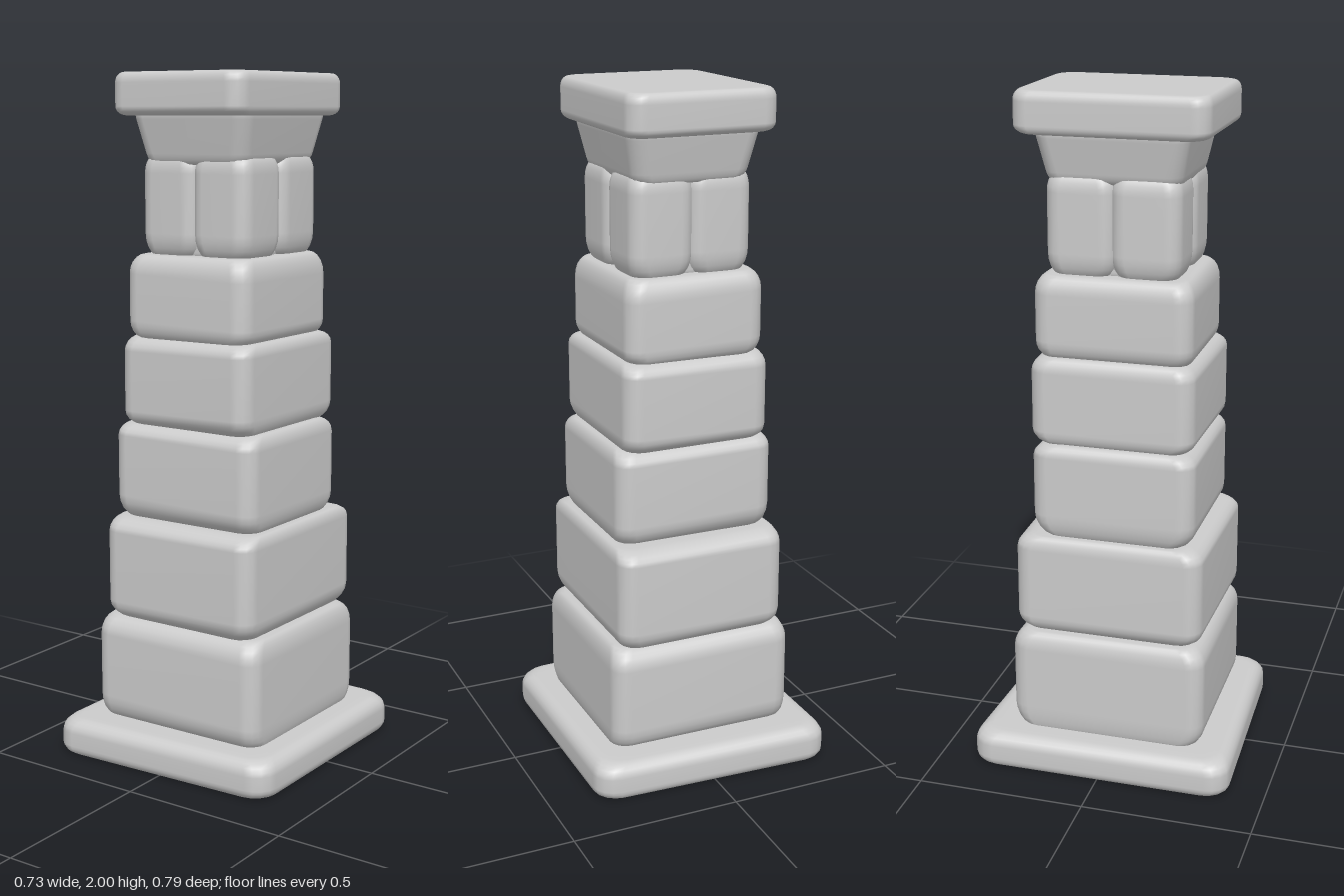
import * as THREE from 'three';

const material = new THREE.MeshStandardMaterial({ color: 0xcccccc, roughness: 0.9 });

// Outline of a rounded rectangle, counter-clockwise seen from above
function outline(hx, hz, r) {
  const pts = [];
  const signs = [[1, 1], [1, -1], [-1, -1], [-1, 1]];
  signs.forEach(([sx, sz], q) => {
    for (let i = 0; i <= 4; i++) {
      const a = Math.PI / 2 - (q + i / 4) * Math.PI / 2;
      pts.push([sx * (hx - r) + Math.cos(a) * r, sz * (hz - r) + Math.sin(a) * r]);
    }
  });
  return pts;
}

// Soft, worn block lofted from rounded sections.
// x, y, z: [min, max]; bevel: inset in x, height, inset in z (bottom / top)
function block(name, { x, y, z, r, low, high, flare = 0, taper = 0, lean = 0 }) {
  const cx = (x[0] + x[1]) / 2, cz = (z[0] + z[1]) / 2;
  const hx = (x[1] - x[0]) / 2, hz = (z[1] - z[0]) / 2;
  const rows = [];
  const steps = 5;
  rows.push([y[0], low[0] + 0.03, low[2] + 0.03]);
  for (let i = 0; i <= steps; i++) {
    const a = (i / steps) * Math.PI / 2, c = 1 - Math.sin(a);
    rows.push([y[0] + low[1] * (1 - Math.cos(a)), low[0] * c, low[2] * c]);
  }
  for (let i = steps; i >= 0; i--) {
    const a = (i / steps) * Math.PI / 2, c = 1 - Math.sin(a);
    rows.push([y[1] - high[1] * (1 - Math.cos(a)), high[0] * c, high[2] * c]);
  }
  rows.push([y[1], high[0] + 0.03, high[2] + 0.03]);

  const pos = [], idx = [];
  let n = 0;
  for (const [py, ix, iz] of rows) {
    const t = (py - y[0]) / (y[1] - y[0]);
    const f = flare * (1 - t);
    const ring = outline(hx - ix - f, hz - iz - f, r);
    n = ring.length;
    for (const [px, pz] of ring) {
      const u = px / hx;
      pos.push(cx + px, py + lean * u * t * (1 - t), cz + pz * (1 - taper * u));
    }
  }
  for (let j = 0; j < rows.length - 1; j++) {
    for (let i = 0; i < n; i++) {
      const a = j * n + i, b = j * n + (i + 1) % n;
      idx.push(a, b, b + n, a, b + n, a + n);
    }
  }
  // Flat underside and top
  const bottom = pos.length / 3, top = bottom + 1, last = (rows.length - 1) * n;
  pos.push(cx, y[0], cz, cx, y[1], cz);
  for (let i = 0; i < n; i++) {
    const k = (i + 1) % n;
    idx.push(bottom, k, i, top, last + i, last + k);
  }
  const geo = new THREE.BufferGeometry();
  geo.setAttribute('position', new THREE.Float32BufferAttribute(pos, 3));
  geo.setIndex(idx);
  geo.computeVertexNormals();
  const mesh = new THREE.Mesh(geo, material);
  mesh.name = name;
  return mesh;
}

export function createModel() {
  const group = new THREE.Group();
  group.name = 'stonePillar';

  // Slightly crooked base slab
  group.add(block('baseSlab', {
    x: [-0.368, 0.365], y: [0, 0.11], z: [-0.378, 0.382], r: 0.065,
    low: [0.025, 0.03, 0.025], high: [0.04, 0.04, 0.04], taper: 0.04,
  }));

  // Stacked stones, narrowing upwards
  const stones = [
    { x: [-0.285, 0.28], y: [0.1, 0.42], z: [-0.283, 0.296], low: [0.015, 0.07, 0.045], high: [0.025, 0.06, 0.05] },
    { x: [-0.262, 0.26], y: [0.41, 0.72], z: [-0.283, 0.288], low: [0.05, 0.06, 0.06], high: [0.02, 0.04, 0.06] },
    { x: [-0.245, 0.24], y: [0.71, 1.0], z: [-0.226, 0.253], low: [0.03, 0.07, 0.06], high: [0.025, 0.04, 0.06] },
    { x: [-0.226, 0.222], y: [0.99, 1.255], z: [-0.24, 0.25], low: [0.03, 0.05, 0.06], high: [0.025, 0.04, 0.05] },
    { x: [-0.212, 0.206], y: [1.245, 1.49], z: [-0.224, 0.234], low: [0.035, 0.05, 0.03], high: [0.03, 0.06, 0.035] },
  ];
  stones.forEach((s, i) => group.add(block(`shaftStone${i + 1}`, {
    ...s, r: 0.05, taper: i % 2 ? -0.015 : 0.015, lean: i % 2 ? 0.03 : -0.03,
  })));

  // Cluster of four upright stones around a core
  const cluster = new THREE.Group();
  cluster.name = 'uprightStones';
  for (const sx of [-1, 1]) {
    for (const sz of [-1, 1]) {
      const range = (s, outer) => (s > 0 ? [-0.008, outer] : [-outer, 0.008]);
      cluster.add(block('uprightStone', {
        x: range(sx, 0.183), y: [1.48, 1.77], z: range(sz, 0.195), r: 0.045,
        low: [0.03, 0.07, 0.03], high: [0.02, 0.05, 0.02],
      }));
    }
  }
  cluster.add(block('uprightCore', {
    x: [-0.15, 0.15], y: [1.48, 1.77], z: [-0.165, 0.165], r: 0.04,
    low: [0.01, 0.02, 0.01], high: [0.01, 0.02, 0.01],
  }));
  group.add(cluster);

  // Neck flaring out under the cap
  group.add(block('neck', {
    x: [-0.2, 0.2], y: [1.745, 1.89], z: [-0.223, 0.22], r: 0.045, flare: 0.03,
    low: [0.015, 0.03, 0.01], high: [0.005, 0.02, 0.005],
  }));

  // Cap slab
  group.add(block('capSlab', {
    x: [-0.222, 0.222], y: [1.88, 2], z: [-0.277, 0.281], r: 0.05,
    low: [0.02, 0.025, 0.03], high: [0.018, 0.03, 0.018],
  }));

  return group;
}
